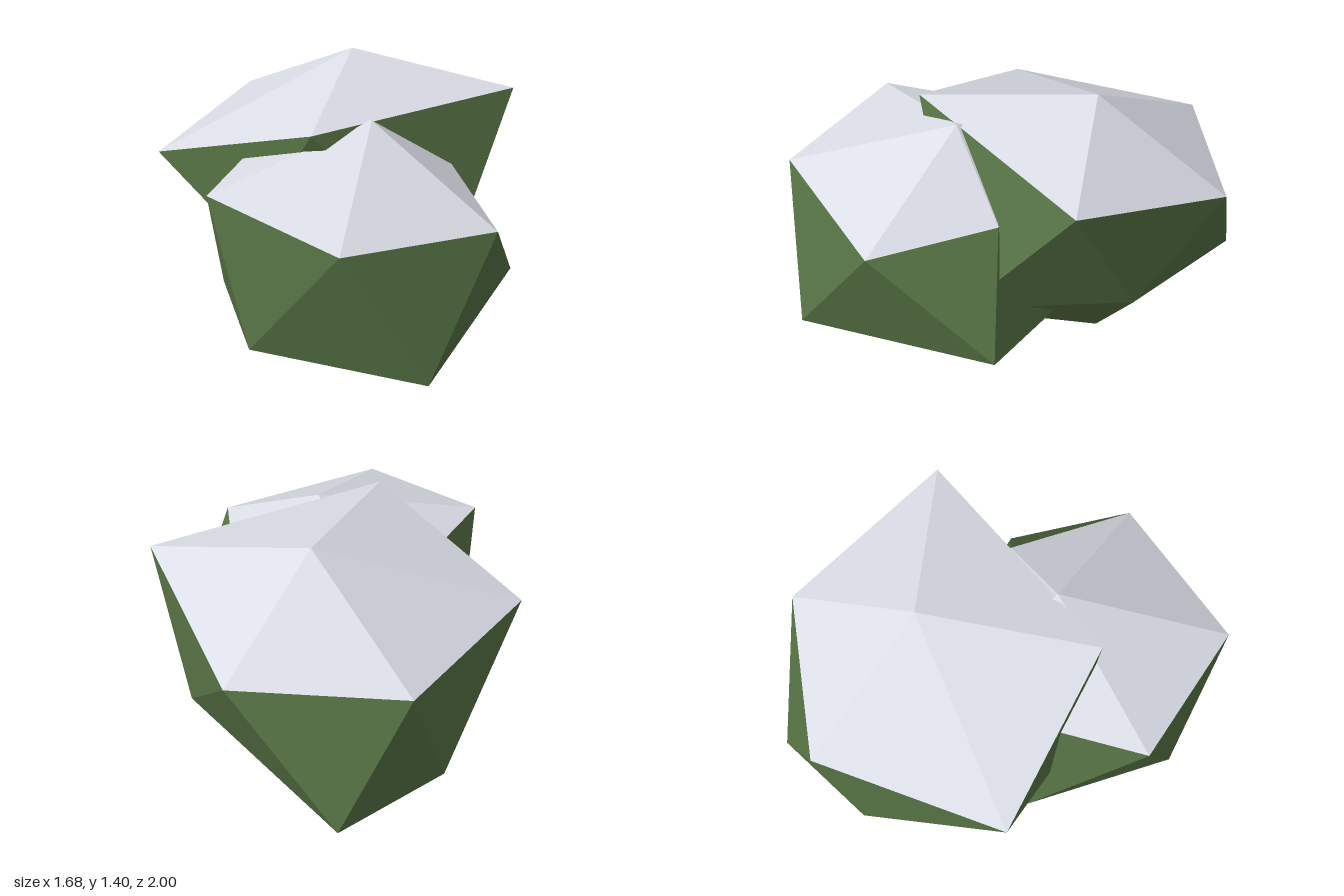
import * as THREE from 'three';

const leaf = new THREE.MeshStandardMaterial({ name: 'leafGreen', color: 0x587545, flatShading: true });
const snow = new THREE.MeshStandardMaterial({ name: 'snowWhite', color: 0xdcdee8, flatShading: true });

// Mesh from a list of triangles, each three corner points
function facets(name, triangles, material) {
  const geometry = new THREE.BufferGeometry();
  geometry.setAttribute('position', new THREE.Float32BufferAttribute(triangles.flat(2), 3));
  geometry.computeVertexNormals();
  const mesh = new THREE.Mesh(geometry, material);
  mesh.name = name;
  return mesh;
}

// Irregular icosahedron: top point, two staggered rings of five, bottom point
function snowyBush(name, top, upper, lower, bottom) {
  const cap = [], body = [];
  for (let i = 0; i < 5; i++) {
    const j = (i + 1) % 5;
    cap.push([top, upper[j], upper[i]]);
    body.push(
      [upper[i], upper[j], lower[i]],
      [lower[i], upper[j], lower[j]],
      [bottom, lower[i], lower[j]],
    );
  }
  const bush = new THREE.Group();
  bush.name = name;
  bush.add(facets('snowCap', cap, snow), facets('foliage', body, leaf));
  return bush;
}

export function createModel() {
  const model = new THREE.Group();
  model.name = 'snowyBushes';

  // Tall bush at the back
  model.add(snowyBush('largeBush', [-0.08, 1.4, -0.37],
    [[0, 1.02, -1], [0.69, 1.25, -0.48], [0, 1.3, 0.46], [-0.84, 1.01, 0.24], [-0.74, 1.02, -0.69]],
    [[0.38, 0.63, -0.68], [0.54, 0.53, 0.09], [-0.36, 0.67, 0.37], [-0.8, 0.49, -0.47], [-0.52, 0.4, -0.95]],
    [-0.17, 0, -0.38]));

  // Smaller bush growing into its front
  model.add(snowyBush('smallBush', [0.2, 1.3, 0.21],
    [[0.5, 1, -0.08], [0.84, 0.95, 0.42], [0.31, 1.03, 1], [-0.37, 1.1, 0.77], [-0.35, 1.1, -0.2]],
    [[0.79, 0.46, -0.15], [0.66, 0.38, 0.84], [-0.15, 0.43, 0.88], [-0.52, 0.38, 0.27], [0, 0.44, -0.39]],
    [0.18, 0.2, 0.38]));

  return model;
}
